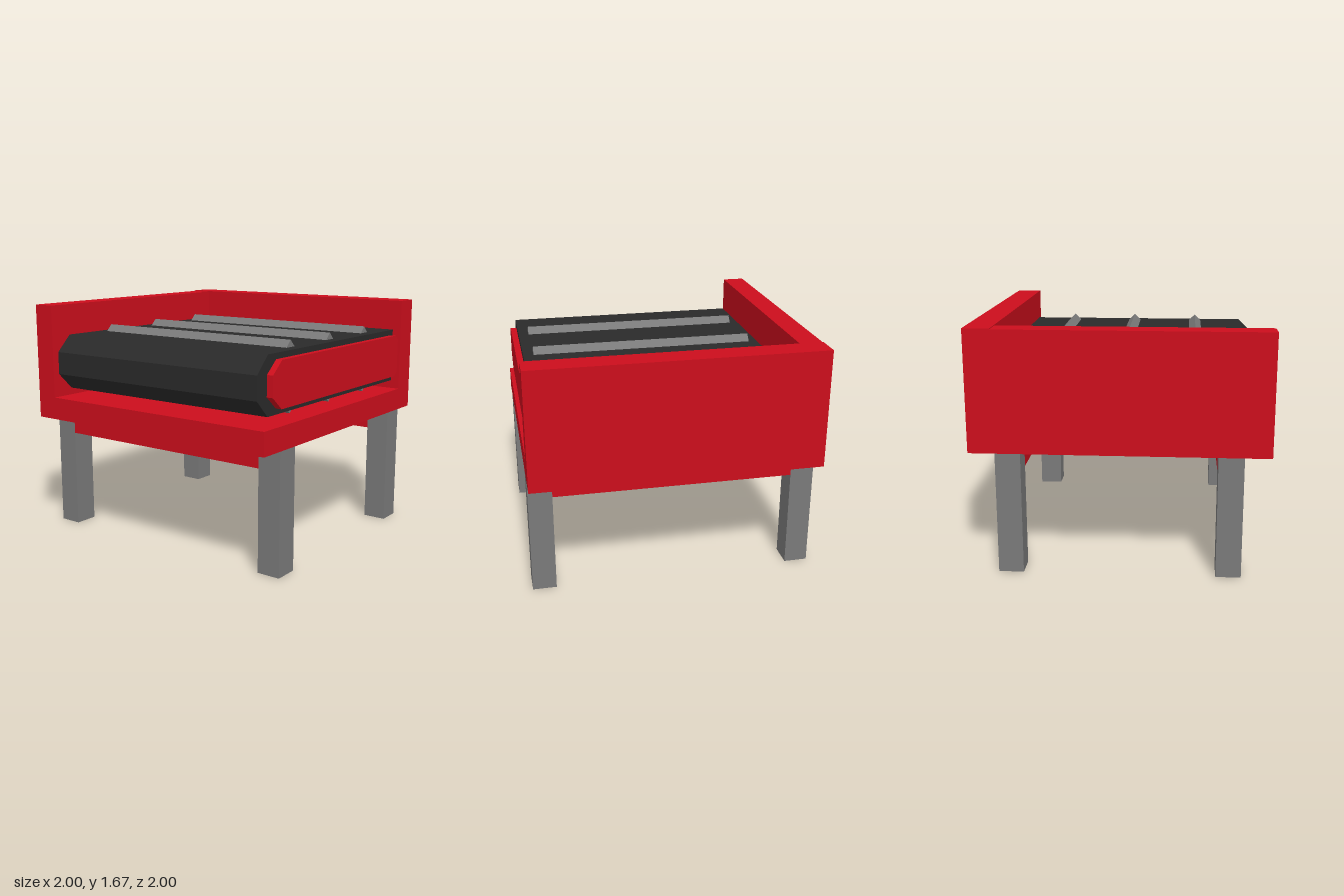
import * as THREE from 'three';

const material = (color) => new THREE.MeshStandardMaterial({ color, flatShading: true });

export function createModel() {
  const model = new THREE.Group();
  const red = material(0xcc0e1c);
  const grey = material(0x7a7a7a);
  const black = material(0x2a2a2a);

  const add = (name, geometry, mat) => {
    const mesh = new THREE.Mesh(geometry, mat);
    mesh.name = name;
    model.add(mesh);
    return mesh;
  };

  // Box given by its extents along each axis
  const box = (name, mat, [x0, x1], [y0, y1], [z0, z1]) =>
    add(name, new THREE.BoxGeometry(x1 - x0, y1 - y0, z1 - z0), mat)
      .position.set((x0 + x1) / 2, (y0 + y1) / 2, (z0 + z1) / 2);

  // Long slab with chamfered ends, extruded along z
  const slab = (name, mat, halfX, halfY, chamferX, flatY, z0, z1, holeShape) => {
    const outline = [
      [halfX, -flatY], [halfX, flatY], [halfX - chamferX, halfY], [chamferX - halfX, halfY],
      [-halfX, flatY], [-halfX, -flatY], [chamferX - halfX, -halfY], [halfX - chamferX, -halfY],
    ].map(([x, y]) => new THREE.Vector2(x, y));
    const geometry = new THREE.ExtrudeGeometry(new THREE.Shape(outline), { depth: z1 - z0, bevelEnabled: false });
    add(name, geometry, mat).position.set(0, 1.255, z0);
  };

  // Tray: floor with a back wall and a side wall
  box('floor', red, [-1, 0.82], [0.84, 1], [-1, 1]);
  box('sideWall', red, [0.82, 1], [0.84, 1.67], [-1, 1]);
  box('backWall', red, [-1, 0.82], [1, 1.665], [-1, -0.84]);

  // Legs, with a rail joining each front and back pair
  for (const side of [-1, 1]) {
    const xs = side > 0 ? [0.65, 0.82] : [-0.82, -0.65];
    box('frontLeg', grey, xs, [0, 0.84], [0.835, 1]);
    box('backLeg', grey, xs, [0, 0.84], [-1, -0.835]);
    box('rail', red, xs, [0.705, 0.84], [-0.835, 0.835]);
  }

  // Belt wrapped around a core that sticks out at front and back
  slab('belt', black, 0.985, 0.195, 0.115, 0.08, -0.8, 0.935);
  slab('beltCore', red, 0.88, 0.155, 0.1, 0.07, -0.84, 0.98);

  // Ridges on the top and bottom runs of the belt
  for (const x of [-0.5, 0, 0.5]) {
    for (const y of [1.45, 1.06]) {
      const ridge = add('beltRidge', new THREE.BoxGeometry(0.067, 0.067, 1.6), grey);
      ridge.position.set(x, y, 0.06);
      ridge.rotation.z = Math.PI / 4;
    }
  }

  return model;
}
